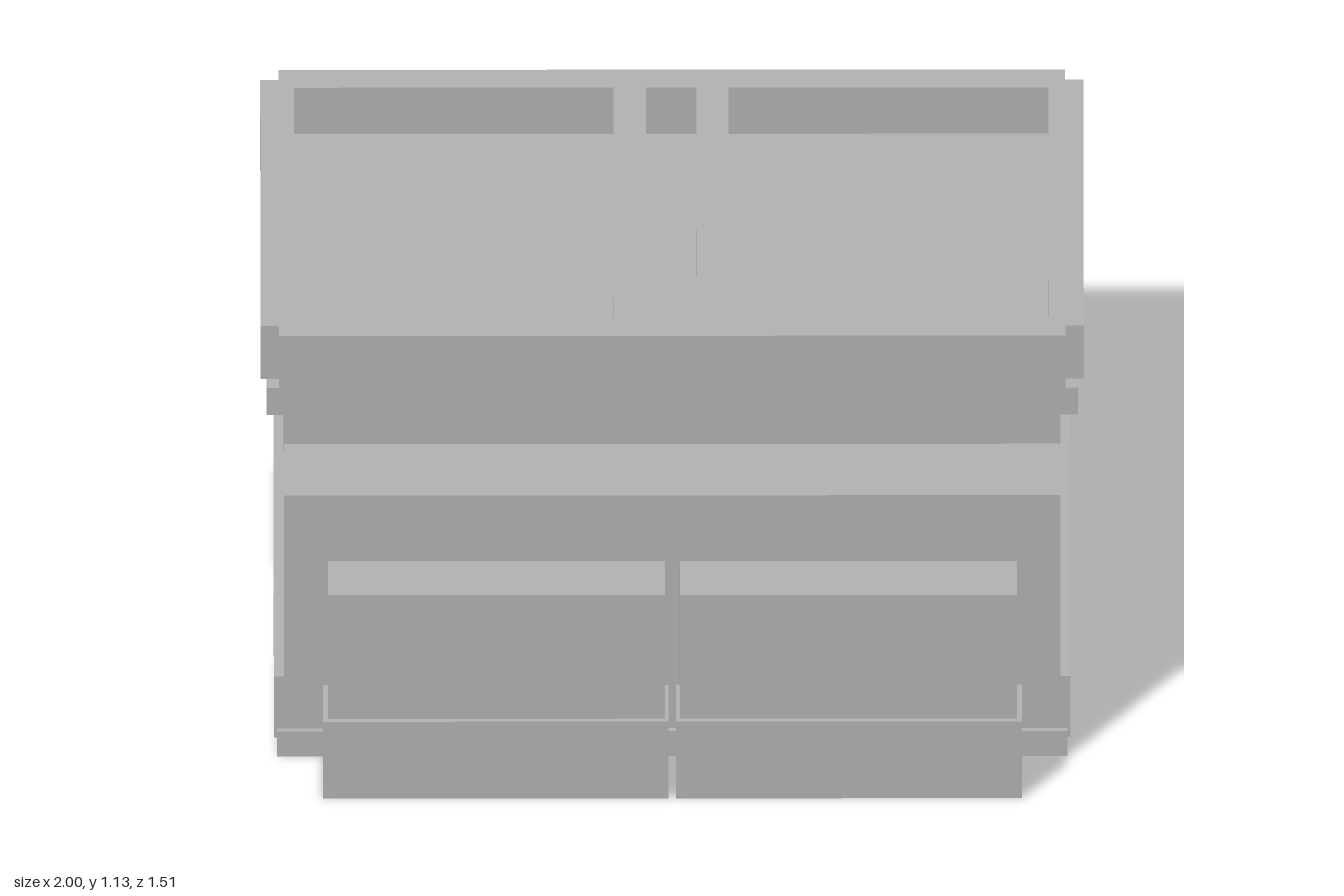
import * as THREE from 'three';

export function createModel() {
  const group = new THREE.Group();
  const grey = new THREE.MeshStandardMaterial({ color: 0xb2b2b2 });
  grey.name = 'stone grey';

  const add = (name, geometry) => {
    const mesh = new THREE.Mesh(geometry, grey);
    mesh.name = name;
    group.add(mesh);
    return mesh;
  };

  // Box given by its limits on each axis
  const block = (name, [x0, x1], [y0, y1], [z0, z1]) =>
    add(name, new THREE.BoxGeometry(x1 - x0, y1 - y0, z1 - z0))
      .position.set((x0 + x1) / 2, (y0 + y1) / 2, (z0 + z1) / 2);

  const outline = (points) => new THREE.Shape(points.map(([a, b]) => new THREE.Vector2(a, b)));

  // Side profile of [z, y] points extruded along x from x0 to x1
  const sideProfile = (name, points, x0, x1) => {
    const shape = outline(points.map(([z, y]) => [-z, y]));
    const geometry = new THREE.ExtrudeGeometry(shape, { depth: x1 - x0, bevelEnabled: false });
    geometry.rotateY(Math.PI / 2);
    geometry.translate(x0, 0, 0);
    return add(name, geometry);
  };

  // Stepped body
  sideProfile('body', [
    [-0.68, 0.21], [0.59, 0.21], [0.59, 0.77], [0.36, 0.77], [0.36, 0.98], [-0.68, 0.98],
  ], -0.943, 0.943);

  // Plinth, and the foot slab with a channel across its underside
  block('plinth', [-0.968, 0.968], [0.045, 0.222], [-0.69, 0.552]);
  sideProfile('foot', [
    [-0.71, 0], [-0.295, 0], [-0.295, 0.045], [0.137, 0.045], [0.137, 0],
    [0.566, 0], [0.566, 0.072], [-0.71, 0.072],
  ], -0.96, 0.96);

  for (const side of [-1, 1]) {
    const span = (a, b) => (side > 0 ? [a, b] : [-b, -a]);
    const label = side > 0 ? 'left' : 'right';

    // Front compartments on wider bases
    block(label + 'Compartment', span(0.018, 0.837), [0.2, 0.58], [0.58, 0.742]);
    block(label + 'CompartmentBase', span(0.009, 0.849), [0, 0.222], [0.54, 0.755]);

    // L-shaped side handle
    const [h0, h1] = span(0.94, 0.986);
    sideProfile(label + 'Handle', [
      [-0.217, 0.745], [0.19, 0.745], [0.19, 0.822], [-0.14, 0.822], [-0.14, 0.98], [-0.217, 0.98],
    ], h0, h1);
  }

  // Lid rim: plan with notched corners and three openings, in [x, -z]
  const front = -0.436, back = 0.755, notch = 0.045;
  const rim = outline([
    [-1 + notch, front], [1 - notch, front], [1 - notch, front + notch], [1, front + notch],
    [1, back - notch], [1 - notch, back - notch], [1 - notch, back], [-1 + notch, back],
    [-1 + notch, back - notch], [-1, back - notch], [-1, front + notch], [-1 + notch, front + notch],
  ]);
  const floorPlan = rim.clone();
  for (const [x0, x1] of [[-0.918, -0.142], [-0.063, 0.06], [0.138, 0.915]]) {
    rim.holes.push(outline([[x0, -0.355], [x0, 0.675], [x1, 0.675], [x1, -0.355]]));
  }
  const slab = (name, shape, y0, y1) => {
    const geometry = new THREE.ExtrudeGeometry(shape, { depth: y1 - y0, bevelEnabled: false });
    geometry.rotateX(-Math.PI / 2);
    geometry.translate(0, y0, 0);
    add(name, geometry);
  };
  slab('lidRim', rim, 0.998, 1.132);
  slab('lidFloor', floorPlan, 0.978, 0.998);

  return group;
}
